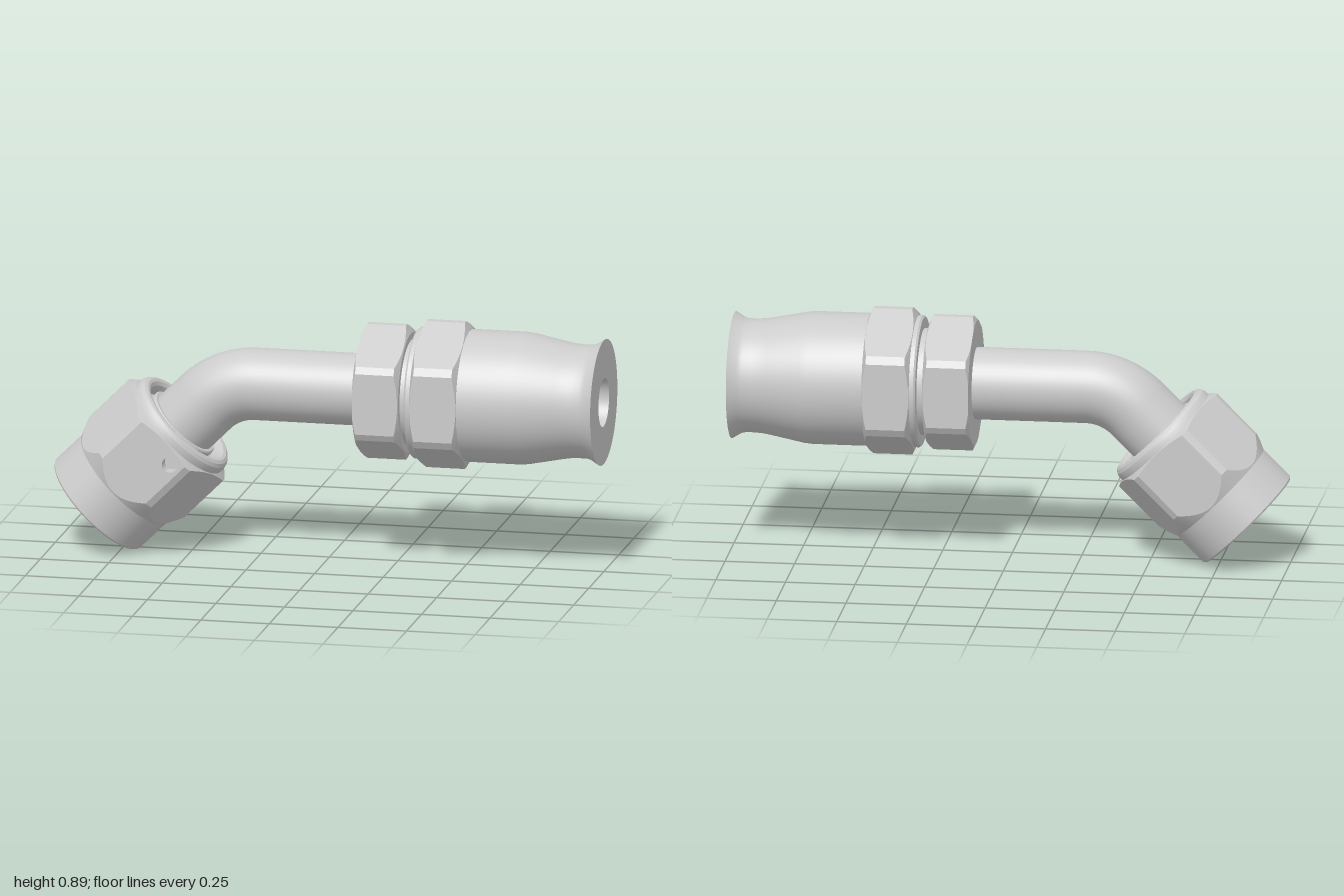
import * as THREE from 'three';
import { toCreasedNormals } from 'three/addons/utils/BufferGeometryUtils.js';

const AXIS_Y = 0.628;
const material = new THREE.MeshStandardMaterial({ color: 0xcccccc });
const innerMaterial = new THREE.MeshStandardMaterial({ color: 0xcccccc, side: THREE.BackSide });

function add(parent, name, geometry, mat = material) {
  const mesh = new THREE.Mesh(geometry, mat);
  mesh.name = name;
  parent.add(mesh);
  return mesh;
}

// Turned part around local y; points are [radius, height]
function turned(parent, name, points) {
  const lathe = new THREE.LatheGeometry(points.map(p => new THREE.Vector2(...p)), 72);
  return add(parent, name, toCreasedNormals(lathe, 0.35));
}

// Hexagon with trimmed corners and conical chamfers, flats facing +-z.
// "window" leaves out a band of the +z flat between two heights.
function hexGeometry({ flat, corner, bottom, top, bore, window: win }) {
  const trim = Math.atan((flat / Math.cos(Math.PI / 6) - corner) * Math.tan(Math.PI / 3) / corner);
  const half = Math.PI / 6 - trim, steps = 12;
  const mid = win || [0.5 * (bottom.y + top.y)];
  const positions = [], indices = [];
  for (let k = 0; k < 6; k++) {
    for (let i = 0; i <= steps; i++) {
      const phi = -half + 2 * half * i / steps;
      const angle = k * Math.PI / 3 + phi;
      const R = flat / Math.cos(phi);
      const rb = Math.min(bottom.r, R), rt = Math.min(top.r, R);
      const column = [
        [bore, bottom.y], [rb, bottom.y], [R, bottom.y + (R - rb) * bottom.slope],
        ...mid.map(y => [R, y]),
        [R, top.y - (R - rt) * top.slope], [rt, top.y], [bore, top.y]
      ];
      for (const [r, y] of column) positions.push(r * Math.sin(angle), y, r * Math.cos(angle));
    }
  }
  const rows = 6 + mid.length, columns = 6 * (steps + 1);
  for (let c = 0; c < columns; c++) {
    for (let j = 0; j < rows - 1; j++) {
      if (win && c < steps && j === 3) continue;
      const a = c * rows + j, b = ((c + 1) % columns) * rows + j;
      indices.push(a, b, a + 1, b, b + 1, a + 1);
    }
  }
  const geometry = new THREE.BufferGeometry();
  geometry.setAttribute('position', new THREE.Float32BufferAttribute(positions, 3));
  geometry.setIndex(indices);
  return { geometry: toCreasedNormals(geometry, 0.35), halfWidth: flat * Math.tan(half) };
}

// Straight run, 45 degree bend, straight run
function pipePath(startX, nutCentre, endS) {
  const d = Math.SQRT1_2, R = 0.26, v = (x, y) => new THREE.Vector3(x, y, 0);
  const kneeX = nutCentre.x + AXIS_Y - nutCentre.y;
  const t = R * Math.tan(Math.PI / 8), h = R * 4 / 3 * Math.tan(Math.PI / 16);
  const a = v(kneeX + t, AXIS_Y), b = v(kneeX - t * d, AXIS_Y - t * d);
  const path = new THREE.CurvePath();
  path.add(new THREE.LineCurve3(v(startX, AXIS_Y), a));
  path.add(new THREE.CubicBezierCurve3(a, v(a.x - h, a.y), v(b.x + h * d, b.y + h * d), b));
  path.add(new THREE.LineCurve3(b, v(nutCentre.x + endS * d, nutCentre.y + endS * d)));
  return path;
}

export function createModel() {
  const model = new THREE.Group();
  model.name = 'elbowHoseFitting';
  const nutCentre = { x: -0.845, y: 0.157 };

  // Bent pipe and its bore
  add(model, 'bentPipe', new THREE.TubeGeometry(pipePath(0.3, nutCentre, 0.26), 100, 0.129, 48));
  add(model, 'pipeBore', new THREE.TubeGeometry(pipePath(1, nutCentre, 0.26), 140, 0.088, 48), innerMaterial);

  // Hose end: local y runs along +x
  const hoseEnd = new THREE.Group();
  hoseEnd.name = 'hoseEnd';
  hoseEnd.rotation.z = -Math.PI / 2;
  hoseEnd.position.y = AXIS_Y;
  model.add(hoseEnd);

  add(hoseEnd, 'pipeNut', hexGeometry({
    flat: 0.22, corner: 0.246, bore: 0.12,
    bottom: { r: 0.225, y: 0.13, slope: 0.5 }, top: { r: 0.215, y: 0.297, slope: 0.5 }
  }).geometry);
  turned(hoseEnd, 'neck', [[0.19, 0.28], [0.19, 0.33]]);
  turned(hoseEnd, 'washer', [[0.18, 0.32], [0.23, 0.32], [0.236, 0.327], [0.236, 0.36]]);
  add(hoseEnd, 'socketNut', hexGeometry({
    flat: 0.24, corner: 0.268, bore: 0.12,
    bottom: { r: 0.238, y: 0.342, slope: 0.5 }, top: { r: 0.238, y: 0.512, slope: 0.5 }
  }).geometry);
  turned(hoseEnd, 'socket', [
    [0.237, 0.5], [0.237, 0.71], [0.234, 0.74], [0.21, 0.86], [0.205, 0.89],
    [0.203, 0.92], [0.203, 0.95], [0.207, 0.967], [0.227, 1], [0.088, 1]
  ]);

  // Swivel nut: local y runs along the lower leg of the pipe
  const swivel = new THREE.Group();
  swivel.name = 'swivelNut';
  swivel.rotation.z = -Math.PI / 4;
  swivel.position.set(nutCentre.x, nutCentre.y, 0);
  model.add(swivel);

  turned(swivel, 'nutSkirt', [
    [0.138, 0.32], [0.19, 0.32], [0.19, 0.015], [0.202, 0], [0.213, 0], [0.2175, 0.006], [0.2175, 0.16]
  ]);
  const band = [0.3, 0.402];
  const hex = hexGeometry({
    flat: 0.22, corner: 0.246, bore: 0.2, window: band,
    bottom: { r: 0.2175, y: 0.14, slope: 2.2 }, top: { r: 0.215, y: 0.42, slope: 0.5 }
  });
  add(swivel, 'nutHexagon', hex.geometry);

  // Flat with the drilled hole
  const w = hex.halfWidth, holeX = 0.069, holeY = 0.369, holeR = 0.028, depth = 0.05;
  const panel = new THREE.Shape([[-w, band[0]], [w, band[0]], [w, band[1]], [-w, band[1]]]
    .map(p => new THREE.Vector2(...p)));
  panel.holes.push(new THREE.Path().absarc(holeX, holeY, holeR, 0, Math.PI * 2, true));
  add(swivel, 'drilledFlat', new THREE.ShapeGeometry(panel, 24)).position.z = 0.22;
  const wall = add(swivel, 'holeWall',
    new THREE.CylinderGeometry(holeR, holeR, depth, 32, 1, true), innerMaterial);
  wall.rotation.x = Math.PI / 2;
  wall.position.set(holeX, holeY, 0.22 - depth / 2);
  add(swivel, 'holeFloor', new THREE.CircleGeometry(holeR, 32))
    .position.set(holeX, holeY, 0.22 - depth);

  // Rounded collar behind the nut
  turned(swivel, 'collar', [
    [0.217, 0.4], [0.217, 0.43], [0.213, 0.445], [0.204, 0.456], [0.192, 0.461],
    [0.18, 0.459], [0.169, 0.45], [0.164, 0.435], [0.164, 0.41], [0.13, 0.41]
  ]);
  // Flared pipe end with its sleeve
  turned(swivel, 'flaredSleeve', [
    [0.088, 0.26], [0.17, 0.17], [0.185, 0.17], [0.185, 0.24], [0.145, 0.3],
    [0.145, 0.445], [0.14, 0.45], [0.125, 0.45]
  ]);
  return model;
}
